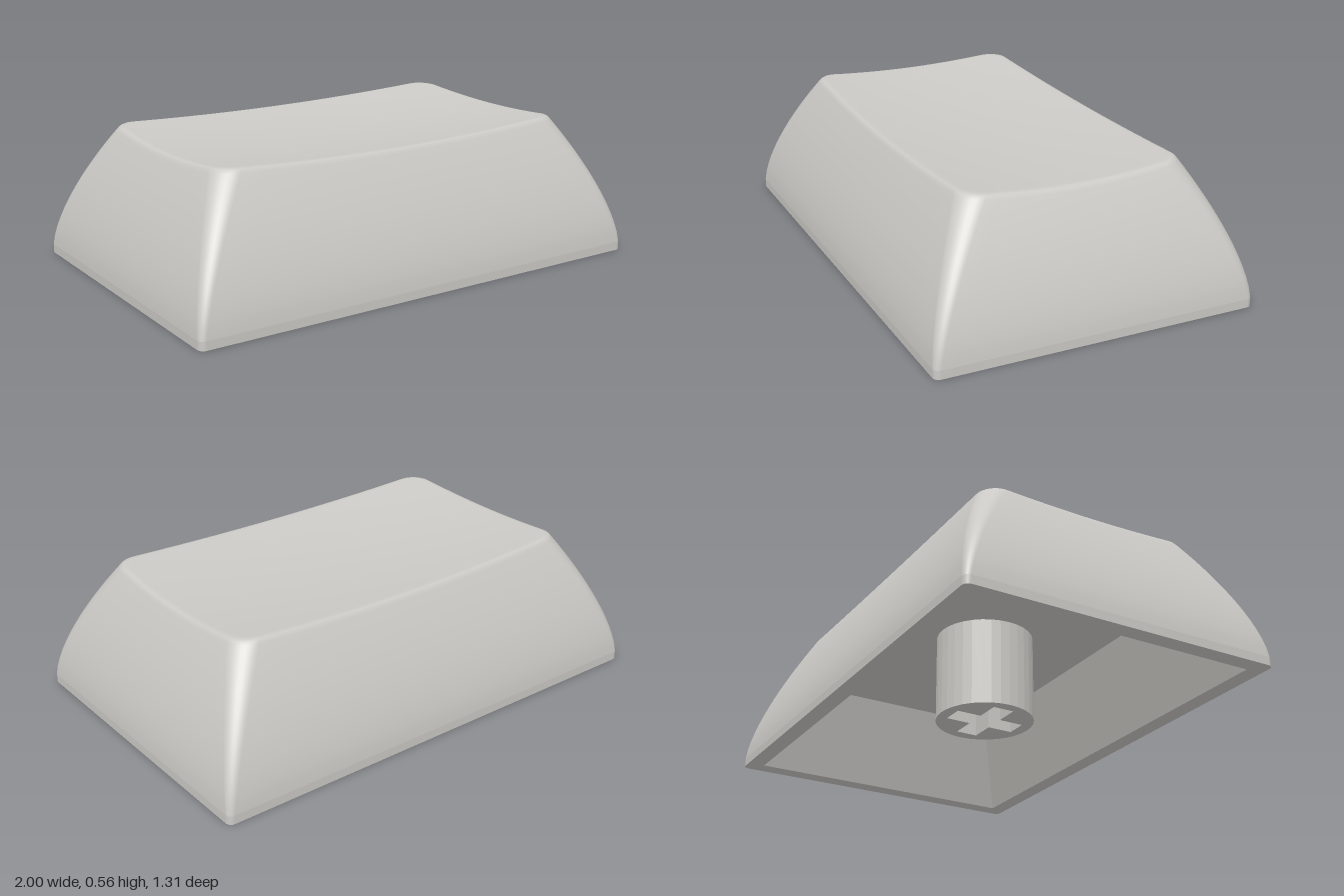
import * as THREE from 'three';

const HX = 1, HZ = 0.655, BAND = 0.035, WALL = 0.07, CEILING = 0.365;

// Rounded rectangle as [x, z] points, turning from +x towards +z
function outline(hx, hz, r, arc = 8, edge = 16) {
  const pts = [];
  const signs = [[1, 1], [-1, 1], [-1, -1], [1, -1]];
  signs.forEach(([sx, sz], q) => {
    for (let i = 0; i <= arc; i++) {
      const a = (q + i / arc) * Math.PI / 2;
      pts.push([sx * (hx - r) + r * Math.cos(a), sz * (hz - r) + r * Math.sin(a)]);
    }
    const [nx, nz] = signs[(q + 1) % 4];
    const a = (q + 1) * Math.PI / 2, ox = r * Math.cos(a), oz = r * Math.sin(a);
    for (let i = 1; i < edge; i++) {
      const f = i / edge;
      pts.push([
        THREE.MathUtils.lerp(sx, nx, f) * (hx - r) + ox,
        THREE.MathUtils.lerp(sz, nz, f) * (hz - r) + oz,
      ]);
    }
  });
  return pts;
}

// Skin through closed rings of [x, y, z] points, listed bottom to top
function loft(rings, flat = false) {
  const n = rings[0].length, index = [];
  for (let k = 0; k < rings.length - 1; k++) {
    for (let i = 0; i < n; i++) {
      const j = (i + 1) % n;
      const a = k * n + i, b = k * n + j, c = a + n, d = b + n;
      index.push(a, c, b, b, c, d);
    }
  }
  let g = new THREE.BufferGeometry();
  g.setAttribute('position', new THREE.Float32BufferAttribute(rings.flat(2), 3));
  g.setIndex(index);
  if (flat) g = g.toNonIndexed();
  g.computeVertexNormals();
  return g;
}

// Height of the scooped top, and how far the walls have leaned in at a height
const dish = (x, z) => 0.513 + 0.045 * x * x + 0.14 * z * z;
const lean = (y) => 0.21 * Math.pow(Math.max(0, y - BAND) / 0.53, 1.5);

// One ring of the curved wall, at fraction t of the way up to the rim
function wallRing(t) {
  const l0 = lean(BAND + t * 0.51);
  return outline(HX - l0, HZ - l0, 0.025 + 0.06 * t).map(([x, z]) => {
    const y = BAND + t * (dish(x, z) - 0.02 - BAND);
    const l = lean(y);
    return [x * (HX - l) / (HX - l0), y, z * (HZ - l) / (HZ - l0)];
  });
}

function shellGeometry() {
  const rings = [];
  for (let k = 0; k <= 14; k++) rings.push(wallRing(k / 14));
  const rim = rings[rings.length - 1];
  const inset = (sx, sz, drop) => rim.map(([x, , z]) => [x * sx, dish(x * sx, z * sz) - drop, z * sz]);
  // Soft rim
  for (const [d, drop] of [[0.007, 0.009], [0.014, 0.003], [0.024, 0.0005], [0.036, 0]]) {
    rings.push(inset(1 - d / 0.8, 1 - d / 0.455, drop));
  }
  // Scooped top
  for (let k = 9; k >= 0; k--) rings.push(inset(k / 10.5, k / 10.5, 0));
  return loft(rings);
}

// Sharp-cornered hollow under the cap
function cavityGeometry() {
  const rect = (hx, y, hz) => [[hx, y, hz], [hx, y, -hz], [-hx, y, -hz], [-hx, y, hz]];
  return loft([
    rect(HX - WALL, 0, HZ - WALL),
    rect(0.8, CEILING, 0.465),
    rect(0, CEILING, 0),
  ], true);
}

// Flat lip around the opening
function lipGeometry() {
  const toV = ([x, z]) => new THREE.Vector2(x, z);
  const shape = new THREE.Shape(outline(HX, HZ, 0.025).map(toV));
  const ix = HX - WALL, iz = HZ - WALL;
  shape.holes.push(new THREE.Path([[ix, iz], [ix, -iz], [-ix, -iz], [-ix, iz]].map(toV)));
  return new THREE.ShapeGeometry(shape).rotateX(Math.PI / 2);
}

// Round post with a cross-shaped socket
function stemGeometry() {
  const shape = new THREE.Shape().absarc(0, 0, 0.2, 0, Math.PI * 2, false);
  const L = 0.15, w = 0.045;
  const cross = [];
  for (let q = 0; q < 4; q++) {
    const c = Math.round(Math.cos(q * Math.PI / 2)), s = Math.round(Math.sin(q * Math.PI / 2));
    for (const [x, y] of [[L, -w], [L, w], [w, w]]) {
      cross.push(new THREE.Vector2(x * c - y * s, x * s + y * c));
    }
  }
  shape.holes.push(new THREE.Path(cross.reverse()));
  return new THREE.ExtrudeGeometry(shape, { depth: CEILING, bevelEnabled: false, curveSegments: 16 })
    .rotateX(-Math.PI / 2);
}

export function createModel() {
  const plastic = new THREE.MeshStandardMaterial({ color: 0xcccac6 });
  plastic.name = 'warm grey plastic';

  const group = new THREE.Group();
  group.name = 'keycap';
  const add = (name, geometry) => {
    const mesh = new THREE.Mesh(geometry, plastic);
    mesh.name = name;
    group.add(mesh);
  };

  const base = outline(HX, HZ, 0.025);
  add('outerShell', shellGeometry());
  add('baseBand', loft([0, BAND].map((y) => base.map(([x, z]) => [x, y, z]))));
  add('bottomLip', lipGeometry());
  add('innerCavity', cavityGeometry());
  add('stem', stemGeometry());
  return group;
}
